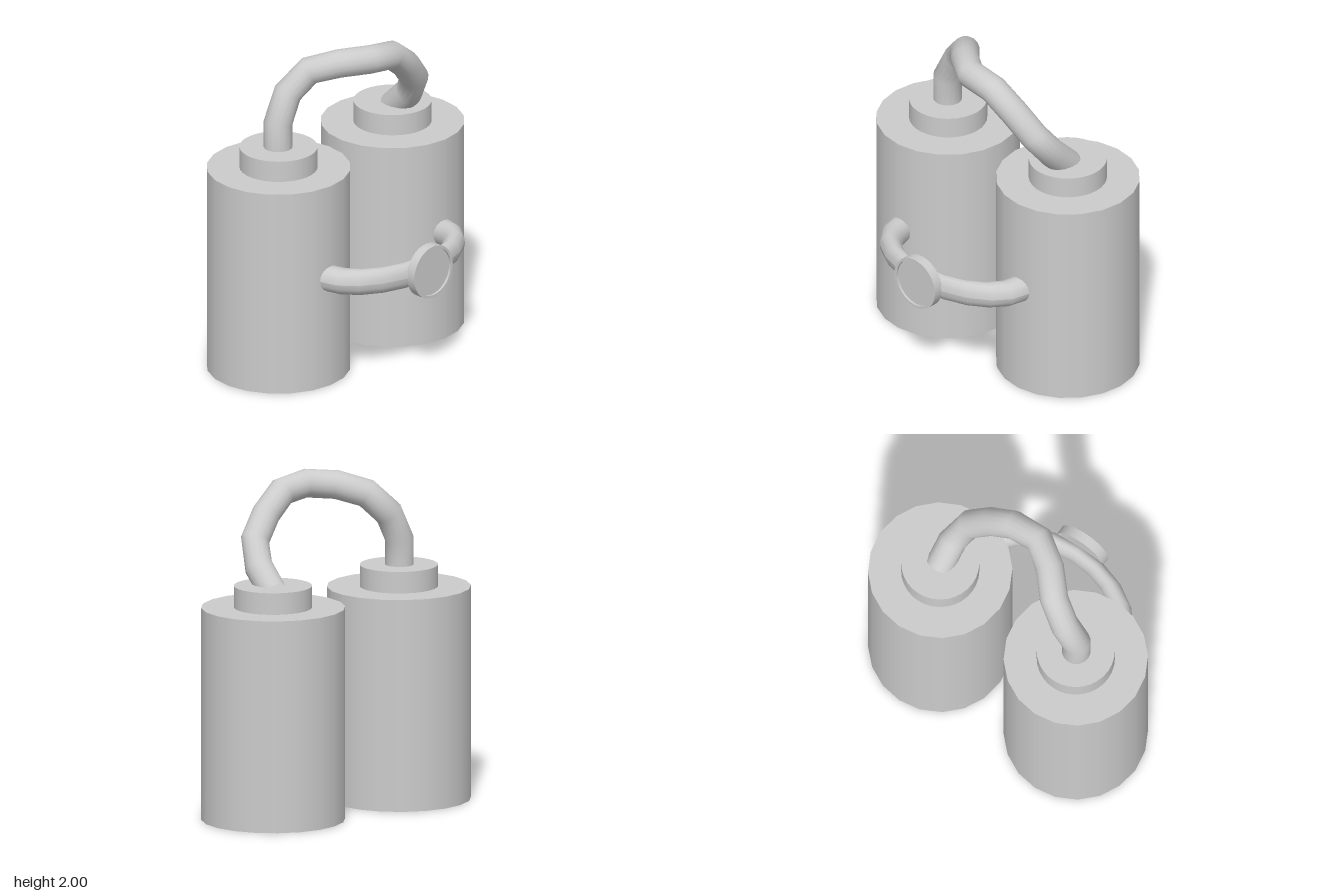
import * as THREE from 'three';

const material = new THREE.MeshStandardMaterial({ color: 0xcccccc });
const openMaterial = new THREE.MeshStandardMaterial({ color: 0xcccccc, side: THREE.DoubleSide });

const TANK_X = -0.19;
const TANK_Z = 0.487;

function addMesh(parent, name, geometry, position = [0, 0, 0], mat = material) {
  const mesh = new THREE.Mesh(geometry, mat);
  mesh.name = name;
  mesh.position.set(...position);
  parent.add(mesh);
  return mesh;
}

// One upright tank with its narrower neck
function createTank(name, z) {
  const tank = new THREE.Group();
  tank.name = name;
  tank.position.set(TANK_X, 0, z);
  addMesh(tank, 'tankBody', new THREE.CylinderGeometry(0.428, 0.428, 1.28, 20), [0, 0.64, 0]);
  addMesh(tank, 'tankNeck', new THREE.CylinderGeometry(0.232, 0.232, 0.13, 32), [0, 1.345, 0]);
  return tank;
}

// Bent hose joining the two necks
function createHose() {
  const path = new THREE.CatmullRomCurve3([
    [TANK_X, 1.38, 0.49],
    [TANK_X, 1.57, 0.49],
    [TANK_X, 1.74, 0.4],
    [-0.13, 1.855, 0.29],
    [0.01, 1.905, 0.16],
    [0.11, 1.915, 0.02],
    [0.11, 1.885, -0.17],
    [0.07, 1.725, -0.36],
    [0.01, 1.58, -0.47],
    [-0.1, 1.46, -0.49],
    [TANK_X, 1.37, -0.49],
  ].map((p) => new THREE.Vector3(...p)));
  return new THREE.TubeGeometry(path, 10, 0.086, 16);
}

export function createModel() {
  const model = new THREE.Group();
  model.name = 'twinTanks';

  model.add(createTank('frontTank', TANK_Z), createTank('backTank', -TANK_Z));
  addMesh(model, 'topHose', createHose(), [0, 0, 0], openMaterial);

  // Flattened half ring bridging the tank sides
  const ring = new THREE.TorusGeometry(0.485, 0.08, 16, 10, Math.PI);
  ring.rotateZ(-Math.PI / 2).rotateX(Math.PI / 2).scale(0.627, 1, 1);
  ring.computeVertexNormals();
  addMesh(model, 'sidePipe', ring, [0.226, 0.685, 0], openMaterial);

  // Round gauge with a thin rim around a slightly sunken face
  const gauge = new THREE.Group();
  gauge.name = 'gauge';
  gauge.position.set(0.555, 0.69, 0);
  gauge.rotation.z = -Math.PI / 2;
  model.add(gauge);
  const wall = (a, b) => new THREE.LatheGeometry(
    [a, b].map(([r, y]) => new THREE.Vector2(r, y)), 32);
  const rim = [[0, 0], [0.165, 0], [0.165, 0.06], [0.148, 0.06], [0.148, 0.046], [0, 0.046]];
  const names = ['gaugeBack', 'gaugeSide', 'gaugeRim', 'gaugeInnerWall', 'gaugeFace'];
  names.forEach((name, i) =>
    addMesh(gauge, name, wall(rim[i], rim[i + 1]), [0, 0, 0], openMaterial));

  return model;
}
